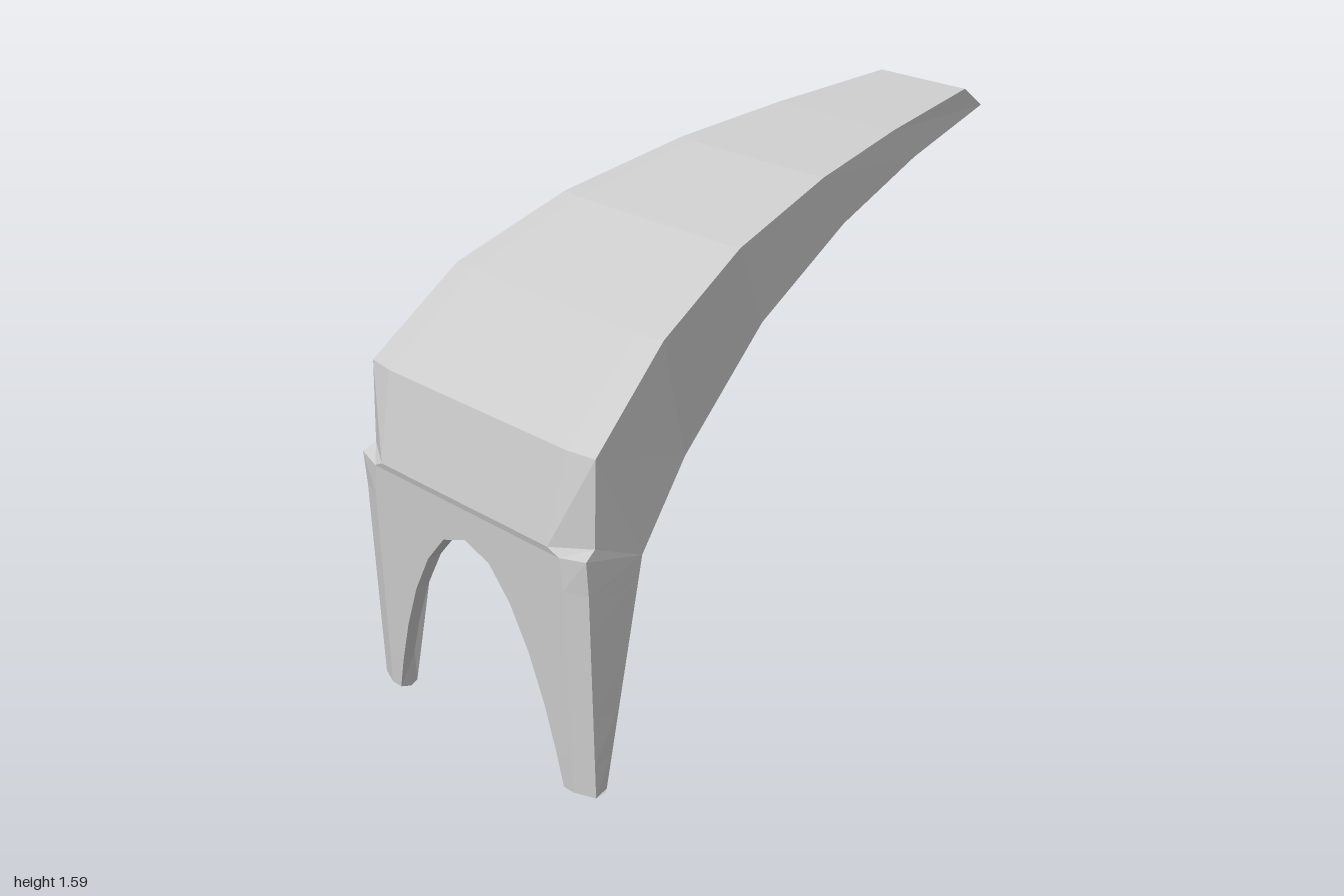
import * as THREE from 'three';

const lerp = (a, b, t) => a.map((v, i) => v + (b[i] - v) * t);

// Lofts rows of [x, y, z] points on the left half and mirrors them to the right.
function loft(name, rows) {
  const pos = [];
  const tri = (...p) => {
    const [a, b, c] = p.map((q) => new THREE.Vector3(...q));
    if (b.clone().sub(a).cross(c.clone().sub(a)).length() < 1e-7) return;
    for (const q of [a, b, c]) pos.push(q.x, q.y, q.z);
    for (const q of [a, c, b]) pos.push(-q.x, q.y, q.z);
  };
  for (let i = 0; i + 1 < rows.length; i++) {
    for (let j = 0; j + 1 < rows[i].length; j++) {
      const a = rows[i][j], b = rows[i][j + 1], c = rows[i + 1][j + 1], d = rows[i + 1][j];
      tri(a, b, c);
      tri(a, c, d);
    }
  }
  const geo = new THREE.BufferGeometry();
  geo.setAttribute('position', new THREE.Float32BufferAttribute(pos, 3));
  geo.computeVertexNormals();
  const mesh = new THREE.Mesh(geo, new THREE.MeshStandardMaterial({
    color: 0xcccccc, flatShading: true, side: THREE.DoubleSide,
  }));
  mesh.name = name;
  return mesh;
}

export function createModel() {
  const group = new THREE.Group();
  group.name = 'archedShell';

  // Front opening, from the foot to the crown; its shape is shared by every arch
  const opening = [[0.37, 0], [0.345, 0.115], [0.305, 0.25], [0.25, 0.39], [0.18, 0.515], [0.1, 0.605], [0, 0.64]];
  const profile = opening.map(([x, y]) => [x / 0.37, y / 0.64]);

  // Shell sections: upper edge, lower edge (x, y, z) and width of the lower rim
  const sections = [
    { top: [0.475, 1.018, 0.94], low: [0.447, 0.67, 0.745], rim: 0.105 },
    { top: [0.432, 1.252, 0.655], low: [0.412, 0.887, 0.55], rim: 0.1 },
    { top: [0.362, 1.402, 0.3], low: [0.34, 1.152, 0.18], rim: 0.085 },
    { top: [0.292, 1.497, -0.11], low: [0.27, 1.328, -0.23], rim: 0.06 },
    { top: [0.232, 1.548, -0.48], low: [0.21, 1.436, -0.61], rim: 0.035 },
    { top: [0.17, 1.587, -0.89], low: [0.15, 1.512, -1.0], rim: 0.01 },
  ];
  sections.forEach((s, k) => {
    const [x, y, z] = s.top;
    s.corner = [x, y, z - 0.015 * (1 - k / 5)];
    s.skin = [[0, y, z], [x * 0.8, y, z], s.corner];
    const bx = s.low[0] - s.rim;
    s.inner = [bx, s.low[1], s.low[2]];
    s.arch = profile.map(([u, v]) => {
      const p = lerp(s.low, s.top, v * (0.955 + 0.008 * k));
      return [u * bx, p[1], p[2]];
    });
  });

  // Opening edge on the front, its back rim, and the mouth of the vault
  const frontZ = (y) => 0.98 + 0.015 * Math.min(1, y / 0.74);
  const frontArch = opening.map(([x, y]) => [x, Math.max(y, 0.012), frontZ(y)]);
  const rimArch = opening.map(([x, y]) => [x, y, 0.945]);
  const mouthArch = profile.map(([u, v]) => [0.342 * u, 0.66 + 0.325 * v, 0.94 - 0.013 * v]);

  // Front plate rows with chamfered outer corners, ending in the notch
  const plate = frontArch.map(([x, y, z]) => {
    const t = y / 0.74;
    return [[x, y, z], [0.41, y, z], [0.475 + 0.01 * t, y, 0.955 + 0.015 * t]];
  });
  plate.push(
    [[0, 0.735, 0.995], [0.4, 0.735, 0.995], [0.485, 0.745, 0.975]],
    [[0, 0.755, 1.0], [0.36, 0.755, 1.0], [0.475, 0.765, 0.935]],
  );
  group.add(loft('frontPlate', [...plate, sections[0].skin]));
  group.add(loft('topSkin', sections.map((s) => s.skin)));

  // Outer sides: legs taper to the lower edge, then follow the shell
  const first = sections[0];
  const footBack = [0.465, 0.005, 0.91];
  const legSide = plate.map((r) => [r[2], lerp(footBack, first.low, Math.min(1, r[2][1] / 0.67))]);
  group.add(loft('sideWalls', [...legSide, ...sections.map((s) => [s.corner, s.low])]));

  // Back edges of the legs and lower rims of the shell
  const footInner = [0.385, 0, 0.91];
  const legTop = [0.41, 0.67, 0.745];
  const legCorner = [0.385, 0.67, 0.93];
  group.add(loft('legBackEdges', [[footBack, footInner], [first.low, legTop]]));
  group.add(loft('lowerRims', sections.map((s) => [s.low, s.inner])));

  // Inner leg walls, closed above by a small ledge under the vault
  group.add(loft('innerLegWalls', [
    [footInner, rimArch[0], rimArch[0]],
    [legTop, legCorner, mouthArch[0]],
    [first.inner, mouthArch[0], mouthArch[0]],
  ]));
  group.add(loft('footSoles', [
    [footInner, lerp(footInner, footBack, 0.5), footBack],
    [rimArch[0], lerp(rimArch[0], plate[0][2], 0.5), plate[0][2]],
    plate[0],
  ]));

  // Opening reveal, plate back and vaulted underside
  group.add(loft('tunnel', [frontArch, rimArch, mouthArch, ...sections.map((s) => s.arch)]));

  // Slanted end face between the vault and the outer skin
  const end = sections[5];
  const crown = end.skin[0];
  group.add(loft('endFace', end.arch.map((p, j) => [
    j < 3 ? lerp(end.low, end.corner, j / 3) : lerp(end.corner, crown, (j - 3) / 3), p,
  ])));

  return group;
}
